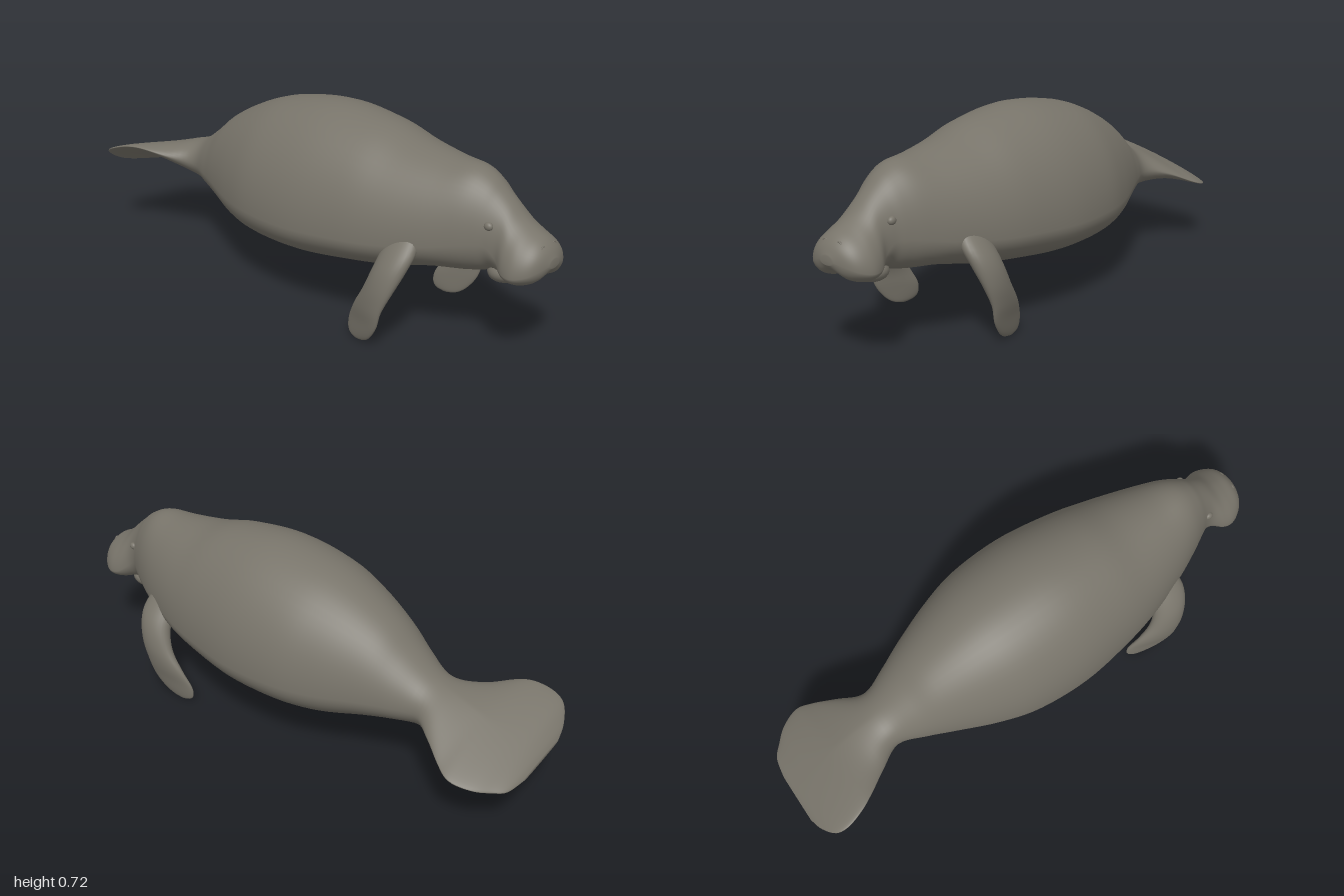
import * as THREE from 'three';

const hide = new THREE.MeshStandardMaterial({ color: 0x78746a });
hide.name = 'grey hide';

// Catmull-Rom interpolation of whole rows of section values
function refine(rows, steps) {
  const out = [];
  const row = i => rows[Math.min(Math.max(i, 0), rows.length - 1)];
  for (let i = 0; i < rows.length - 1; i++) {
    for (let s = 0; s < steps; s++) {
      const t = s / steps;
      out.push(row(i).map((p1, k) => {
        const p0 = row(i - 1)[k], p2 = row(i + 1)[k], p3 = row(i + 2)[k];
        return p1 + 0.5 * t * (p2 - p0 + t * (2 * p0 - 5 * p1 + 4 * p2 - p3 + t * (3 * (p1 - p2) + p3 - p0)));
      }));
    }
  }
  out.push(rows[rows.length - 1]);
  return out;
}

// Smooth skin over rings of points, closed at both ends
function loft(rings) {
  const n = rings[0].length, pos = [], index = [];
  rings.forEach(r => r.forEach(p => pos.push(p.x, p.y, p.z)));
  for (let i = 0; i < rings.length - 1; i++) {
    for (let j = 0; j < n; j++) {
      const k = (j + 1) % n, a = i * n + j, b = a + n, c = i * n + k, d = c + n;
      index.push(a, b, c, b, d, c);
    }
  }
  const cap = (ring, start, flip) => {
    const m = ring.reduce((s, p) => s.add(p), new THREE.Vector3()).divideScalar(n);
    const id = pos.length / 3;
    pos.push(m.x, m.y, m.z);
    for (let j = 0; j < n; j++) {
      const a = start + j, b = start + (j + 1) % n;
      if (flip) index.push(id, b, a); else index.push(id, a, b);
    }
  };
  cap(rings[0], 0, false);
  cap(rings[rings.length - 1], (rings.length - 1) * n, true);
  const g = new THREE.BufferGeometry();
  g.setAttribute('position', new THREE.Float32BufferAttribute(pos, 3));
  g.setIndex(index);
  g.computeVertexNormals();
  return g;
}

function add(group, name, geometry) {
  const m = new THREE.Mesh(geometry, hide);
  m.name = name;
  group.add(m);
  return m;
}

const spow = (v, e) => Math.sign(v) * Math.pow(Math.abs(v), e);

// Sections: x, bottom, top, height of widest point, z centre, half width, pointedness, roll, lip notch
const TAIL = [
  [-1.0, 0.244, 0.256, 0.25, 0.05, 0.10, 1, 0.22, 0],
  [-0.985, 0.249, 0.273, 0.261, 0.04, 0.165, 1, 0.25, 0],
  [-0.95, 0.262, 0.298, 0.28, 0.045, 0.212, 1, 0.28, 0],
  [-0.90, 0.28, 0.325, 0.302, 0.029, 0.240, 1.1, 0.28, 0],
  [-0.83, 0.295, 0.355, 0.325, 0.008, 0.243, 1.3, 0.28, 0],
  [-0.77, 0.293, 0.378, 0.335, 0.003, 0.215, 1.45, 0.25, 0],
  [-0.69, 0.278, 0.405, 0.34, 0, 0.163, 1.3, 0.14, 0],
];
const TRUNK = [
  [-0.6, 0.26, 0.435, 0.34, 0, 0.113, 1.05, 0.03, 0],
  [-0.5, 0.243, 0.503, 0.34, 0, 0.147, 1, 0, 0],
  [-0.4, 0.222, 0.58, 0.34, 0, 0.192, 1, 0, 0],
  [-0.25, 0.182, 0.655, 0.33, 0, 0.254, 1, 0, 0],
  [-0.1, 0.17, 0.70, 0.33, 0, 0.296, 1, 0, 0],
  [0.1, 0.175, 0.722, 0.33, 0, 0.307, 1, 0, 0],
  [0.3, 0.20, 0.70, 0.34, 0, 0.282, 1, 0, 0],
  [0.45, 0.225, 0.66, 0.35, 0, 0.248, 1, 0, 0],
  [0.6, 0.26, 0.637, 0.37, 0, 0.197, 1, 0, 0],
];
const HEAD = [
  [0.7, 0.272, 0.63, 0.39, 0, 0.152, 1, 0, 0],
  [0.76, 0.285, 0.603, 0.40, 0, 0.120, 1, 0, 0],
  [0.80, 0.30, 0.57, 0.40, 0, 0.100, 1, 0, 0],
  [0.84, 0.298, 0.535, 0.37, 0, 0.098, 1, 0, 0.01],
  [0.88, 0.288, 0.497, 0.34, 0, 0.120, 1.1, 0, 0.03],
  [0.92, 0.288, 0.47, 0.335, 0, 0.125, 1.1, 0, 0.04],
  [0.96, 0.303, 0.448, 0.345, 0, 0.105, 1.05, 0, 0.035],
  [0.985, 0.325, 0.422, 0.36, 0, 0.072, 1, 0, 0.02],
  [1.0, 0.36, 0.39, 0.372, 0, 0.024, 1, 0, 0],
];

function bodyRing([x, yb, yt, yw, z0, hw, e, roll, notch]) {
  return Array.from({ length: 56 }, (_, j) => {
    const a = j / 56 * Math.PI * 2, s = Math.sin(a);
    const z = z0 + hw * spow(Math.cos(a), e);
    let y = yw + (s > 0 ? yt - yw : yw - yb) * spow(s, e) + roll * z;
    if (s < 0) y += notch * Math.exp(-((z / 0.035) ** 2));
    return new THREE.Vector3(x, y, z);
  });
}

// Flipper sections: x, y, z, half length, half thickness, yaw
const FLIPPER = [
  [0.535, 0.40, 0.165, 0.055, 0.03, 0],
  [0.54, 0.34, 0.205, 0.066, 0.045, 0],
  [0.53, 0.28, 0.242, 0.066, 0.042, 0.05],
  [0.505, 0.21, 0.266, 0.068, 0.032, 0.2],
  [0.468, 0.14, 0.272, 0.078, 0.022, 0.3],
  [0.443, 0.08, 0.266, 0.085, 0.016, 0.32],
  [0.423, 0.035, 0.262, 0.070, 0.012, 0.3],
  [0.412, 0.010, 0.260, 0.045, 0.008, 0.25],
  [0.408, 0.0, 0.260, 0.012, 0.003, 0.2],
];

function flipper(side) {
  const rings = refine(FLIPPER, 4).map(([x, y, z, hl, ht, yaw]) => {
    // the right flipper hangs a little closer in and twists less
    const lean = side < 0 ? 0.08 * Math.max(0, 0.32 - y) : 0;
    const turn = side * yaw * (side < 0 ? 0.6 : 1);
    return Array.from({ length: 28 }, (_, j) => {
      const a = j / 28 * Math.PI * 2;
      const u = hl * Math.cos(a), v = -ht * Math.sin(a);
      return new THREE.Vector3(
        x + u * Math.cos(turn) - v * Math.sin(turn),
        Math.max(0, y + 0.12 * u * Math.min(1, y / 0.1)),
        side * (z - lean) + u * Math.sin(turn) + v * Math.cos(turn));
    });
  });
  return loft(rings);
}

export function createModel() {
  const model = new THREE.Group();
  model.name = 'manatee';

  // Tail fluke, trunk, head and muzzle in one continuous skin
  add(model, 'body', loft(refine([...TAIL, ...TRUNK, ...HEAD], 5).map(bodyRing)));

  // Lower lip and chin
  const ball = new THREE.SphereGeometry(1, 28, 18);
  const jaw = add(model, 'lowerJaw', ball);
  jaw.position.set(0.825, 0.299, 0);
  jaw.scale.set(0.062, 0.04, 0.066);
  jaw.rotation.z = 0.15;

  for (const side of [1, -1]) {
    const name = side > 0 ? 'left' : 'right';
    add(model, name + 'Flipper', flipper(side));

    // Small eye bump
    const eye = add(model, name + 'Eye', ball);
    eye.position.set(0.805, 0.47, side * 0.088);
    eye.scale.set(0.016, 0.014, 0.012);

    // Nostril rim on the muzzle
    const nostril = add(model, name + 'Nostril', new THREE.TorusGeometry(0.01, 0.003, 8, 16));
    nostril.position.set(0.972, 0.422, side * 0.03);
    nostril.rotation.set(0, Math.PI / 2, 0.5);
  }
  return model;
}
